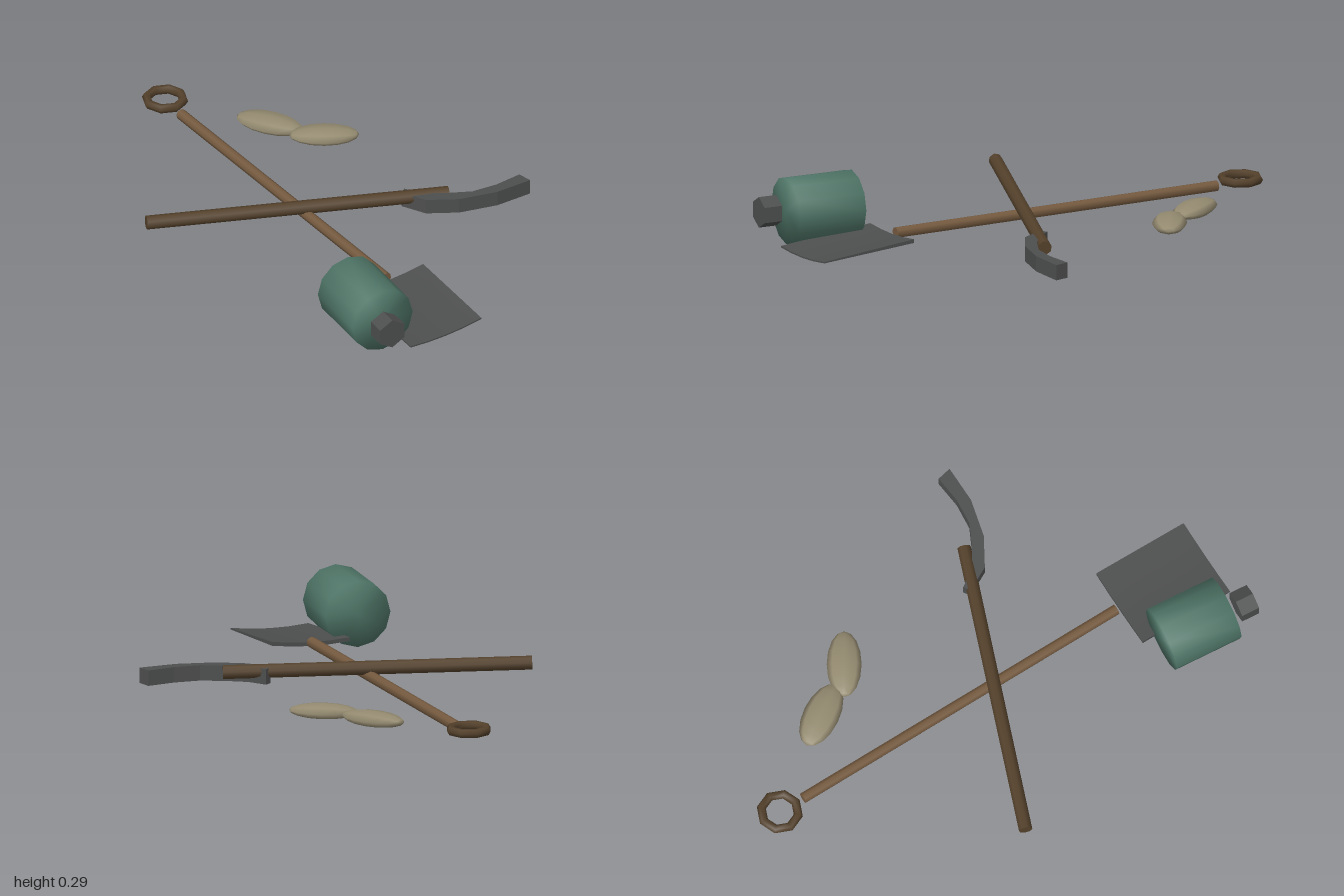
import * as THREE from 'three';
import { mergeVertices } from 'three/addons/utils/BufferGeometryUtils.js';

const mat = (name, color) => {
  const m = new THREE.MeshStandardMaterial({ color });
  m.name = name;
  return m;
};

// Share vertices so shading runs smoothly over every edge
function smooth(geometry) {
  geometry.deleteAttribute('normal');
  geometry.deleteAttribute('uv');
  const g = mergeVertices(geometry, 1e-4);
  g.computeVertexNormals();
  return g;
}

export function createModel() {
  const model = new THREE.Group();
  const lightWood = mat('light wood', 0x755a3f);
  const darkWood = mat('dark wood', 0x54412b);
  const iron = mat('iron', 0x4d4f4e);
  const green = mat('green enamel', 0x4f7567);
  const cloth = mat('cloth', 0x948a70);

  const add = (name, geometry, material, pos = [0, 0, 0], yaw = 0) => {
    const mesh = new THREE.Mesh(geometry, material);
    mesh.name = name;
    mesh.position.set(...pos);
    mesh.rotation.y = yaw;
    model.add(mesh);
    return mesh;
  };

  // Straight round pole between two points
  const pole = (name, a, b, radius, material) => {
    const from = new THREE.Vector3(...a), to = new THREE.Vector3(...b);
    const dir = to.clone().sub(from);
    const mesh = add(name, new THREE.CylinderGeometry(radius, radius, dir.length(), 8), material);
    mesh.position.copy(from).lerp(to, 0.5);
    mesh.quaternion.setFromUnitVectors(new THREE.Vector3(0, 1, 0), dir.normalize());
  };

  // Shovel: shaft, ring grip and tilted blade
  pole('shovelShaft', [-0.8, 0.05, -0.665], [0.515, 0.062, 0.24], 0.024, lightWood);
  const ring = new THREE.TorusGeometry(0.081, 0.02, 6, 8).rotateX(Math.PI / 2);
  add('shovelGrip', ring, darkWood, [-0.9, 0.065, -0.73], -0.6);

  const blade = new THREE.BoxGeometry(0.447, 0.018, 0.366, 4, 1, 4);
  const p = blade.attributes.position;
  for (let i = 0; i < p.count; i++) {
    const x = p.getX(i), z = p.getZ(i);
    const thin = 0.65 - x * 1.3; // thins toward the cutting edge
    p.setY(i, p.getY(i) * thin - 0.075 * x - 0.04 * z + 0.012 * (z / 0.183) ** 2);
  }
  blade.computeVertexNormals();
  add('shovelBlade', blade, iron, [0.71, 0.033, 0.375], -0.594);

  // Pick: dark handle and curved square bar
  pole('pickHandle', [-0.58, 0.108, 0.28], [0.515, 0.077, -0.47], 0.03, darkWood);
  const outer = [[0.34, -0.365], [0.46, -0.35], [0.59, -0.41], [0.72, -0.525], [0.815, -0.665]];
  const inner = [[0.755, -0.69], [0.695, -0.58], [0.62, -0.49], [0.52, -0.435], [0.43, -0.4], [0.34, -0.4]];
  const outline = new THREE.Shape([...outer, ...inner].map(([x, z]) => new THREE.Vector2(x, -z)));
  const bar = new THREE.ExtrudeGeometry(outline, { depth: 0.068, bevelEnabled: false });
  bar.rotateX(-Math.PI / 2);
  add('pickHead', bar, iron, [0, 0.03, 0]);

  // Canteen: round body and loose hexagonal cap on the same axis
  const yaw = -Math.atan2(0.64, 0.77);
  const body = smooth(new THREE.CylinderGeometry(0.147, 0.147, 0.312, 12));
  body.rotateZ(-Math.PI / 2);
  add('canteenBody', body, green, [0.555, 0.147, 0.583], yaw);
  const cap = new THREE.CylinderGeometry(0.068, 0.068, 0.082, 6).toNonIndexed();
  cap.computeVertexNormals();
  cap.rotateY(Math.PI / 2).rotateZ(-Math.PI / 2);
  add('canteenCap', cap, iron, [0.725, 0.15, 0.747], yaw);

  // Two flattened cloth pouches
  [[-0.42, 0.152, 0.078, -0.03], [-0.168, 0.15, 0.075, 0.4]].forEach(([x, length, width, turn], i) => {
    const pouch = new THREE.SphereGeometry(1, 8, 8).rotateZ(Math.PI / 2);
    pouch.scale(length, 0.034, width);
    add('pouch' + (i + 1), smooth(pouch), cloth, [x, 0.052, -0.74], turn);
  });

  return model;
}
